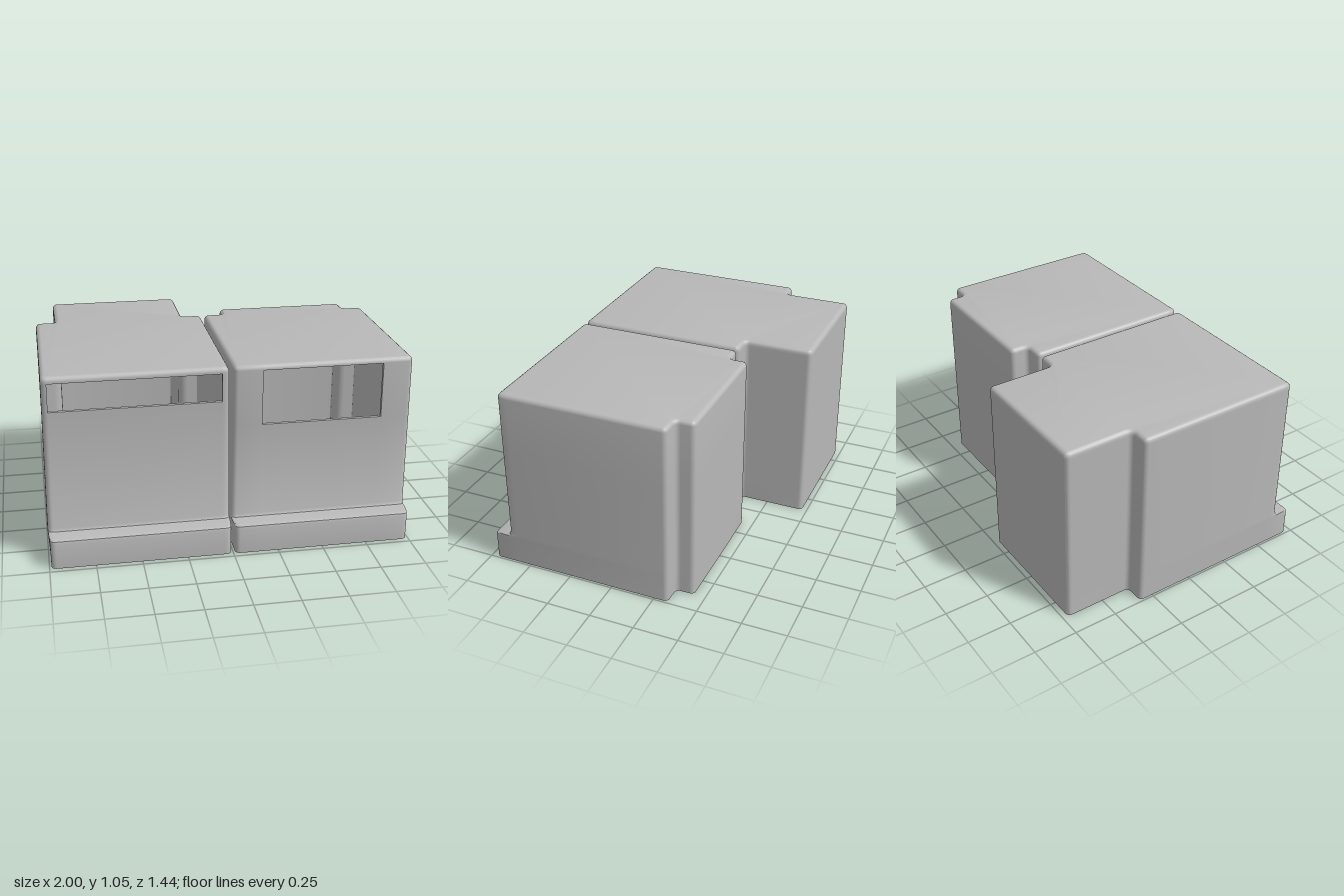
import * as THREE from 'three';
import { toCreasedNormals } from 'three/addons/utils/BufferGeometryUtils.js';

const R = 0.027;       // corner radius
const WALL = 0.02;     // shell thickness
const HALF = 0.489;    // half width of the main body
const NECK = 0.377;    // half width of the rear extension
const SHOULDER = -0.33; // z where the body narrows

// Quarter arc in the xz plane
function arc(cx, cz, r, from, to) {
  const pts = [];
  for (let k = 0; k <= 4; k++) {
    const a = THREE.MathUtils.degToRad(from + (to - from) * k / 4);
    pts.push([cx + r * Math.cos(a), cz + r * Math.sin(a)]);
  }
  return pts;
}

// Horizontal T-shaped outline at height y, moved inwards by inset
function ring(y, front, inset, back, win) {
  const r = Math.max(R - inset, 0.001);
  const half = [
    ...arc(HALF - R, front - R, r, 90, 0),
    [HALF - inset, 0.57],
    ...arc(HALF - R, SHOULDER + R, r, 0, -90),
    ...arc(NECK + R, SHOULDER - R, R + inset, 90, 180),
    ...arc(NECK - R, back + R, r, 0, -90),
  ];
  const mirrored = half.map(([x, z]) => [-x, z]).reverse();
  const all = [[win.x0, front - inset], [win.x1, front - inset], ...half, ...mirrored];
  // Sides swell slightly towards the inner corner above the plinth
  const swellY = Math.max(0, Math.min(y / 0.17, (1.05 - y) / 0.88));
  return all.map(([x, z]) => {
    const swellZ = Math.max(0, Math.min((z - SHOULDER) / (0.57 - SHOULDER), (0.72 - z) / 0.15));
    return [x * (1 + 0.018 * swellY * swellZ), y, z];
  });
}

// Hollow housing, open below, with a window cut through the front
function housing(back, win) {
  const pos = [];
  const tri = (a, b, c) => pos.push(...a, ...b, ...c);
  const quad = (a, b, c, d) => { tri(a, b, c); tri(a, c, d); };

  const outerLevels = [
    [0, 0.72, 0], [0.142, 0.72, 0], [0.157, 0.715, 0], [0.165, 0.7, 0],
    [0.167, 0.65, 0], [0.173, 0.63, 0], [0.19, 0.621, 0],
    [win.y0, 0.625, 0], [win.y1, 0.627, 0],
  ];
  for (let k = 0; k <= 4; k++) { // rounded top edge
    const a = k * Math.PI / 8;
    outerLevels.push([1.025 + 0.025 * Math.sin(a), 0.627, 0.025 * (1 - Math.cos(a))]);
  }
  const innerLevels = [
    [0, 0.72, WALL], [0.145, 0.72, WALL], [0.147, 0.621, WALL],
    [win.y0, 0.625, WALL], [win.y1, 0.627, WALL], [1.03, 0.627, WALL],
  ];
  const loft = (levels) => levels.map(([y, f, i]) => ring(y, f, i, back, win));
  const outer = loft(outerLevels), inner = loft(innerLevels);
  const n = outer[0].length;

  // Walls and top of one skin
  const skin = (rings, levels, flip) => {
    for (let j = 0; j + 1 < rings.length; j++) {
      for (let i = 0; i < n; i++) {
        if (i === 0 && levels[j][0] === win.y0) continue; // window opening
        const k = (i + 1) % n;
        const q = [rings[j][i], rings[j][k], rings[j + 1][k], rings[j + 1][i]];
        if (flip) q.reverse();
        quad(...q);
      }
    }
    const top = rings[rings.length - 1];
    const flat = top.map((p) => new THREE.Vector2(p[0], -p[2]));
    for (const [a, b, c] of THREE.ShapeUtils.triangulateShape(flat, [])) {
      if (flip) tri(top[a], top[c], top[b]);
      else tri(top[a], top[b], top[c]);
    }
  };
  skin(outer, outerLevels, false);
  skin(inner, innerLevels, true);

  // Bottom rim
  for (let i = 0; i < n; i++) {
    const k = (i + 1) % n;
    quad(outer[0][i], inner[0][i], inner[0][k], outer[0][k]);
  }

  // Window reveal
  const corners = (rings, levels) => {
    const j = levels.findIndex((l) => l[0] === win.y0);
    return [rings[j][0], rings[j][1], rings[j + 1][1], rings[j + 1][0]];
  };
  const o = corners(outer, outerLevels), w = corners(inner, innerLevels);
  for (let i = 0; i < 4; i++) {
    const k = (i + 1) % 4;
    quad(o[i], o[k], w[k], w[i]);
  }

  const geo = new THREE.BufferGeometry();
  geo.setAttribute('position', new THREE.Float32BufferAttribute(pos, 3));
  return toCreasedNormals(geo, 0.6);
}

export function createModel() {
  const model = new THREE.Group();
  model.name = 'pairedHousings';
  const grey = new THREE.MeshStandardMaterial({ color: 0xb8b8b8 });
  grey.name = 'grey';

  const units = [
    ['deepHousing', -0.5, -0.72, { x0: -0.457, x1: 0.45, y0: 0.86, y1: 1.015 }],
    ['shallowHousing', 0.5, -0.435, { x0: -0.33, x1: 0.325, y0: 0.715, y1: 1.022 }],
  ];
  for (const [name, x, back, win] of units) {
    const mesh = new THREE.Mesh(housing(back, win), grey);
    mesh.name = name;
    mesh.position.x = x;
    model.add(mesh);
  }
  return model;
}
